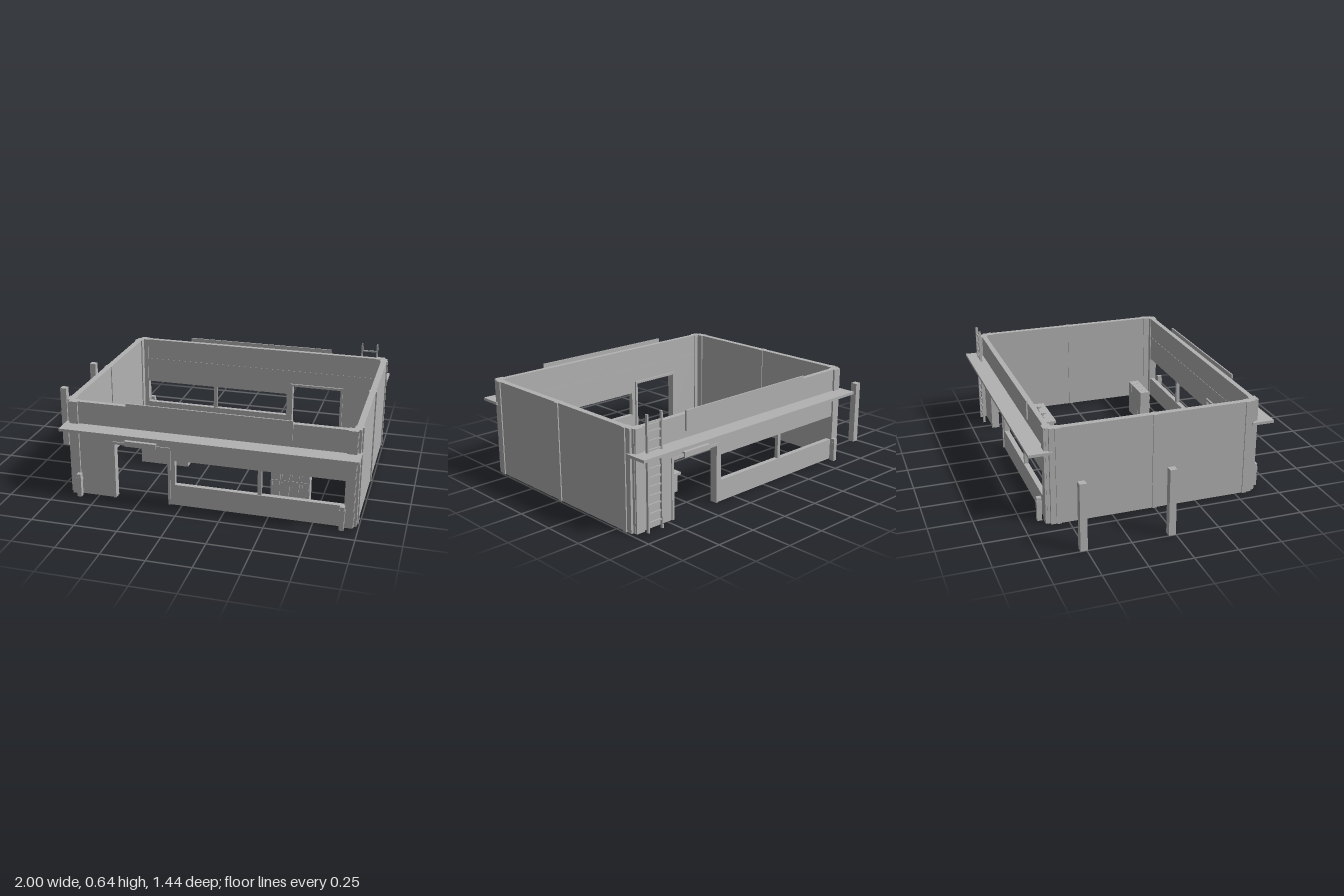
import * as THREE from 'three';

const CX = 0.155; // centre of the building in x

export function createModel() {
  const model = new THREE.Group();
  model.name = 'roadsideShop';
  const grey = new THREE.MeshStandardMaterial({ color: 0xb2b2b2 });
  grey.name = 'plain grey';

  // Box given by its limits on each axis
  function box(parent, name, x0, x1, y0, y1, z0, z1) {
    const mesh = new THREE.Mesh(new THREE.BoxGeometry(x1 - x0, y1 - y0, z1 - z0), grey);
    mesh.position.set((x0 + x1) / 2, (y0 + y1) / 2, (z0 + z1) / 2);
    mesh.name = name;
    parent.add(mesh);
    return mesh;
  }
  function group(parent, name) {
    const g = new THREE.Group();
    g.name = name;
    parent.add(g);
    return g;
  }
  function outline(points) {
    return new THREE.Shape(points.map(([x, y]) => new THREE.Vector2(x, y)));
  }
  function extrude(parent, name, shape, depth, z) {
    const mesh = new THREE.Mesh(new THREE.ExtrudeGeometry(shape, { depth, bevelEnabled: false }), grey);
    mesh.position.z = z;
    mesh.name = name;
    parent.add(mesh);
    return mesh;
  }

  // Long wall with doorway, window, canopy and sign; same on both faces
  function makeFacade(name) {
    const f = group(model, name);
    const d0 = -0.55, d1 = -0.235, w0 = -0.195, w1 = 0.765;
    const wall = outline([[-0.8, 0], [d0, 0], [d0, 0.335], [d1, 0.335], [d1, 0], [0.8, 0], [0.8, 0.57], [-0.8, 0.57]]);
    wall.holes.push(new THREE.Path(
      [[w0, 0.125], [w0, 0.275], [w1, 0.275], [w1, 0.125]].map(([x, y]) => new THREE.Vector2(x, y))));
    extrude(f, 'longWall', wall, 0.03, 0.587);
    extrude(f, 'doorFrame', outline([[d0 - 0.015, 0], [d0, 0], [d0, 0.335], [d1, 0.335], [d1, 0],
      [d1 + 0.015, 0], [d1 + 0.015, 0.35], [d0 - 0.015, 0.35]]), 0.047, 0.576);
    box(f, 'windowMullion', 0.28, 0.302, 0.125, 0.275, 0.59, 0.612);
    box(f, 'canopy', -0.842, 0.84, 0.422, 0.438, 0.585, 0.72);
    box(f, 'signBoard', -0.47, 0.47, 0.48, 0.592, 0.622, 0.631);
    box(f, 'signMount', -0.4, 0.4, 0.5, 0.55, 0.615, 0.624);
    box(f, 'doorLamp', -0.485, -0.3, 0.357, 0.367, 0.615, 0.638);
    box(f, 'doorLampHood', -0.485, -0.3, 0.336, 0.36, 0.628, 0.638);
    for (const x of [-0.375, 0, 0.375]) box(f, 'canopyLamp', x - 0.047, x + 0.047, 0.414, 0.423, 0.643, 0.66);
    f.position.x = CX;
    return f;
  }
  makeFacade('frontFacade');
  makeFacade('backFacade').rotation.y = Math.PI;

  // End walls with stepped corner columns and a centre rib
  for (const s of [-1, 1]) {
    const side = group(model, s < 0 ? 'rightEndWall' : 'leftEndWall');
    const across = (name, a, b, z0, z1) =>
      box(side, name, CX + Math.min(s * a, s * b), CX + Math.max(s * a, s * b), 0, 0.57, z0, z1);
    across('endWall', 0.797, 0.832, -0.595, 0.595);
    across('centreRib', 0.792, 0.839, -0.014, 0.014);
    for (const t of [-1, 1]) {
      const along = (name, a, b, z0, z1) => across(name, a, b, Math.min(t * z0, t * z1), Math.max(t * z0, t * z1));
      along('endPilaster', 0.79, 0.839, 0.543, 0.57);
      along('cornerStep', 0.79, 0.832, 0.568, 0.602);
      along('cornerColumn', 0.78, 0.818, 0.583, 0.618);
      along('facePilaster', 0.763, 0.815, 0.581, 0.628);
    }
  }

  // Guard bollards at the corners
  for (const [x, z] of [[-0.605, 0.653], [0.912, 0.653], [-0.602, -0.65]]) {
    const b = group(model, 'bollard');
    box(b, 'bollardPost', x - 0.013, x + 0.013, 0, 0.14, z - 0.014, z + 0.014);
    box(b, 'bollardCollar', x - 0.016, x + 0.016, 0.1, 0.12, z - 0.015, z + 0.015);
  }

  // Free-standing posts
  for (const z of [-0.515, -0.021]) box(model, 'yardPost', -1, -0.96, 0, 0.39, z - 0.02, z + 0.02);

  // Roof ladder
  const ladder = group(model, 'ladder');
  for (const x of [0.815, 0.91]) box(ladder, 'ladderRail', x, x + 0.01, 0, 0.642, -0.66, -0.645);
  for (let i = 0; i < 12; i++) {
    const y = 0.047 + i * 0.0495;
    box(ladder, 'ladderRung', 0.823, 0.912, y, y + 0.009, -0.656, -0.648);
  }

  // Serving stand with a scalloped counter edge and a raised hood
  const stand = group(model, 'servingStand');
  box(stand, 'standBase', -0.42, -0.12, 0, 0.112, 0.036, 0.11);
  box(stand, 'standTop', -0.432, -0.108, 0.112, 0.124, 0.03, 0.116);
  for (let i = 0; i < 16; i++) {
    const x = -0.43 + i * 0.02;
    box(stand, 'edgeScallop', x, x + 0.013, 0.105, 0.113, 0.03, 0.116);
  }
  for (const x of [-0.38, -0.195]) box(stand, 'standPillar', x, x + 0.036, 0.124, 0.19, 0.035, 0.11);
  box(stand, 'standHood', -0.383, -0.156, 0.187, 0.22, 0.016, 0.13);
  box(stand, 'hoodKnob', -0.2, -0.172, 0.22, 0.229, 0.06, 0.09);

  // Wash counter with two taps
  const sink = group(model, 'washCounter');
  box(sink, 'counterBase', 0.428, 0.722, 0, 0.102, -0.352, -0.272);
  box(sink, 'counterTop', 0.416, 0.736, 0.102, 0.118, -0.365, -0.26);
  for (const x of [0.489, 0.602]) {
    box(sink, 'tapStem', x - 0.006, x + 0.006, 0.118, 0.155, -0.336, -0.324);
    box(sink, 'tapSpout', x - 0.006, x + 0.006, 0.147, 0.155, -0.336, -0.31);
    box(sink, 'tapHandles', x - 0.037, x + 0.037, 0.13, 0.137, -0.333, -0.327);
  }

  // Row of four lockers with split doors
  const lockers = group(model, 'lockers');
  for (let i = 0; i < 4; i++) {
    const x = 0.465 + i * 0.057;
    box(lockers, 'lockerBody', x, x + 0.054, 0, 0.214, 0.341, 0.405);
    box(lockers, 'lowerDoor', x + 0.004, x + 0.05, 0.01, 0.13, 0.404, 0.408);
    box(lockers, 'upperDoor', x + 0.004, x + 0.05, 0.137, 0.207, 0.404, 0.408);
    for (const y of [0.095, 0.155]) box(lockers, 'doorHandle', x + 0.008, x + 0.013, y, y + 0.022, 0.407, 0.413);
  }
  box(lockers, 'lockerBack', 0.467, 0.688, 0.004, 0.21, 0.343, 0.4);

  return model;
}
